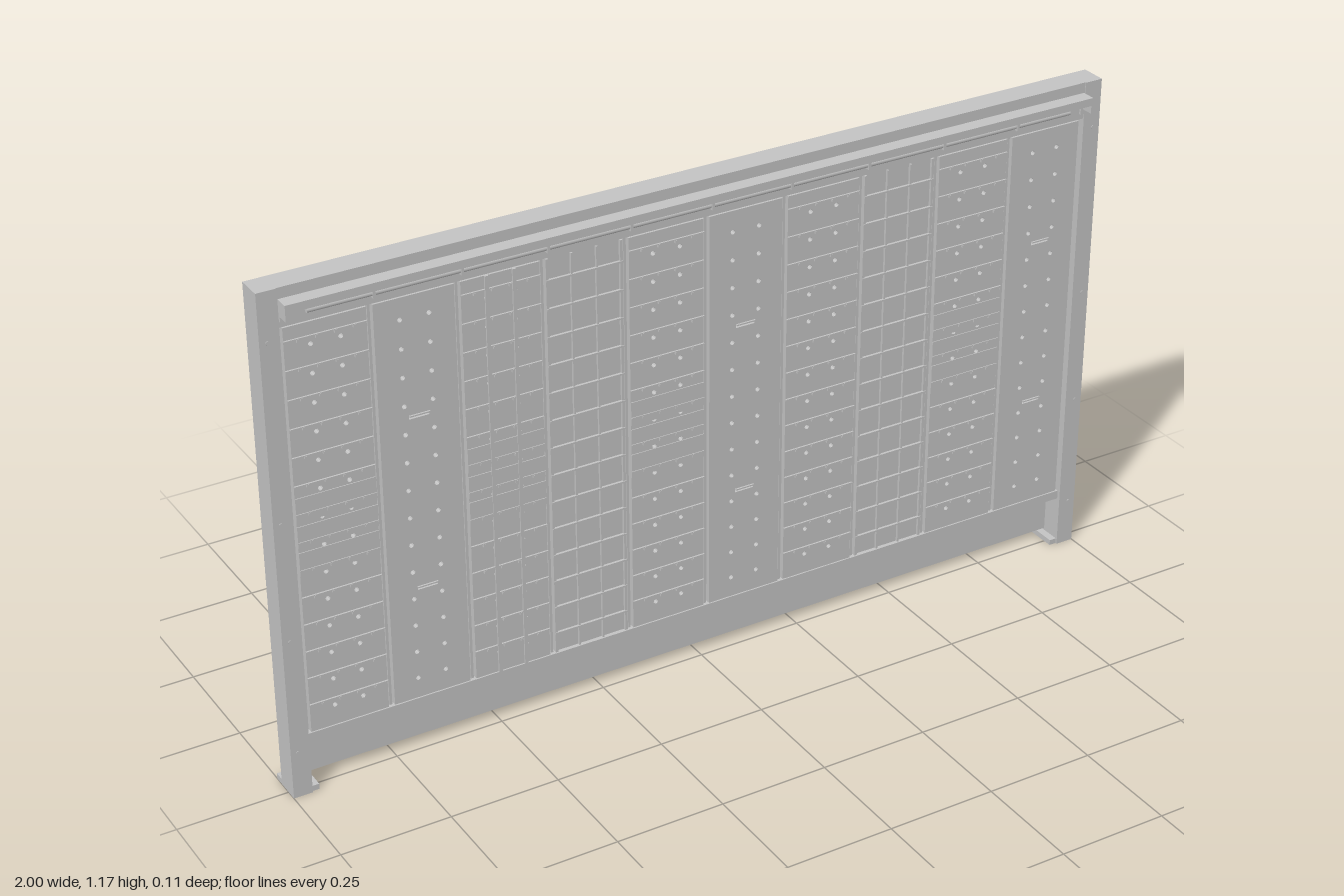
import * as THREE from 'three';

export function createModel() {
  const model = new THREE.Group();
  model.name = 'displayWall';
  const grey = new THREE.MeshStandardMaterial({ color: 0xc4c4c4 });
  grey.name = 'paintedSteel';

  // Box given by its limits on each axis
  function box(parent, name, x0, x1, y0, y1, z0, z1) {
    const mesh = new THREE.Mesh(new THREE.BoxGeometry(x1 - x0, y1 - y0, z1 - z0), grey);
    mesh.position.set((x0 + x1) / 2, (y0 + y1) / 2, (z0 + z1) / 2);
    mesh.name = name;
    parent.add(mesh);
    return mesh;
  }

  // Round bar along x or z
  function bar(parent, name, r, length, axis, x, y, z) {
    const geo = new THREE.CylinderGeometry(r, r, length, 8);
    if (axis === 'x') geo.rotateZ(Math.PI / 2);
    else geo.rotateX(Math.PI / 2);
    const mesh = new THREE.Mesh(geo, grey);
    mesh.position.set(x, y, z);
    mesh.name = name;
    parent.add(mesh);
  }

  const COUNT = 10, PITCH = 0.191, WIDTH = 0.177;
  const BOTTOM = 0.145, TOP = 1.08, FACE = 0.02;
  const ROWS = 14, ROW0 = 0.193, STEP = 0.0645;
  const seam = i => (i - COUNT / 2) * PITCH;

  // Posts, feet and post screws
  for (const s of [-1, 1]) {
    const post = new THREE.Group();
    post.name = s > 0 ? 'leftPost' : 'rightPost';
    const span = (a, b) => (s > 0 ? [a, b] : [-b, -a]);
    box(post, 'upright', ...span(0.957, 1), 0, 1.17, -0.034, 0.026);
    box(post, 'foot', ...span(0.94, 1), 0, 0.013, -0.057, -0.034);
    box(post, 'footTab', ...span(0.94, 0.957), 0, 0.013, -0.034, 0.022);
    for (const y of [0.11, 0.38, 0.655, 1.06]) bar(post, 'screw', 0.004, 0.002, 'z', s * 0.983, y, 0.0265);
    model.add(post);
  }

  // Frame between the posts
  box(model, 'topBeam', -0.957, 0.957, 1.085, 1.17, -0.034, 0.024);
  box(model, 'backSheet', -0.957, 0.957, 0.12, 1.085, -0.032, 0.002);
  box(model, 'bottomBeam', -0.957, 0.957, 0.12, BOTTOM - 0.004, -0.03, 0.018);
  box(model, 'kickPlate', -0.957, 0.957, 0.018, 0.12, -0.034, -0.024);

  // Narrow slotted uprights in the seams
  for (let i = 1; i < COUNT; i++) box(model, 'seamUpright', seam(i) - 0.003, seam(i) + 0.003, BOTTOM, TOP, 0.002, 0.015);

  // Light rail over the panels
  const rail = new THREE.Group();
  rail.name = 'lightRail';
  box(rail, 'railTop', -0.955, 0.955, 1.137, 1.146, 0.024, 0.057);
  box(rail, 'railLip', -0.955, 0.955, 1.128, 1.137, 0.053, 0.057);
  bar(rail, 'lightTube', 0.006, 1.81, 'x', 0, 1.117, 0.04);
  for (const s of [-1, 1]) {
    box(rail, 'railEnd', s * 0.953 - 0.002, s * 0.953 + 0.002, 1.11, 1.146, 0.024, 0.057);
    box(rail, 'endTab', s * 0.95 - 0.005, s * 0.95 + 0.005, 1.098, 1.125, 0.024, 0.029);
  }
  for (let i = 1; i < COUNT; i++) box(rail, 'tubeClip', seam(i) - 0.003, seam(i) + 0.003, 1.108, 1.137, 0.024, 0.048);
  model.add(rail);

  // Cable channel on the back, in sections
  const channel = new THREE.Group();
  channel.name = 'cableChannel';
  for (let i = 0; i < COUNT; i++) {
    const a = seam(i) + 0.0006, b = seam(i + 1) - 0.0006;
    box(channel, 'channelFloor', a, b, 0.117, 0.13, -0.057, -0.032);
    box(channel, 'channelLip', a, b, 0.13, 0.144, -0.057, -0.053);
    box(channel, 'channelRoot', a, b, 0.13, 0.138, -0.042, -0.032);
  }
  model.add(channel);

  // Perforated sheet shared by the panels, with optional slots
  function sheetGeometry(slots) {
    const shape = new THREE.Shape();
    const w = WIDTH / 2;
    shape.moveTo(-w, BOTTOM).lineTo(w, BOTTOM).lineTo(w, TOP).lineTo(-w, TOP).closePath();
    for (let r = 0; r < ROWS; r++) for (const s of [-1, 1]) {
      const hole = new THREE.Path();
      hole.absarc(s * 0.032, ROW0 + r * STEP, 0.0055, 0, Math.PI * 2, true);
      shape.holes.push(hole);
    }
    for (const y of slots) {
      const slot = new THREE.Path();
      slot.moveTo(-0.023, y - 0.004).lineTo(-0.023, y + 0.004).lineTo(0.023, y + 0.004).lineTo(0.023, y - 0.004).closePath();
      shape.holes.push(slot);
    }
    const geo = new THREE.ExtrudeGeometry(shape, { depth: 0.014, bevelEnabled: false, curveSegments: 5 });
    return geo.translate(0, 0, FACE - 0.014);
  }
  const plainSheet = sheetGeometry([0.41, 0.81]);
  const hookSheet = sheetGeometry([]);

  const addSheet = (panel, geo) => {
    const mesh = new THREE.Mesh(geo, grey);
    mesh.name = 'perforatedSheet';
    panel.add(mesh);
  };

  // Plain panel with two pull slots
  function plainPanel(panel) {
    addSheet(panel, plainSheet);
    for (const y of [0.41, 0.81]) box(panel, 'pullLip', -0.023, 0.023, y + 0.002, y + 0.005, FACE - 0.01, FACE + 0.004);
  }

  // Panel with ledges and short hooks
  function hookPanel(panel, banded, ribbed) {
    addSheet(panel, hookSheet);
    for (let r = 0; r < ROWS; r++) {
      const y = ROW0 + r * STEP;
      box(panel, 'ledge', -WIDTH / 2, WIDTH / 2, y + 0.018, y + 0.02, FACE, FACE + 0.004);
      for (const x of [-0.06, -0.02, 0.02, 0.06]) box(panel, 'hook', x - 0.002, x + 0.002, y + 0.012, y + 0.018, FACE, FACE + 0.005);
    }
    if (banded) for (const [a, b] of [[0.52, 0.575], [0.585, 0.635], [0.645, 0.7]])
      box(panel, 'band', -WIDTH / 2, WIDTH / 2, a, b, FACE, FACE + 0.002);
    if (ribbed) for (const x of [-0.032, 0.03])
      box(panel, 'rib', x - 0.004, x + 0.004, BOTTOM, TOP, FACE, FACE + 0.004);
  }

  // Wire grid in front of an open back
  function gridPanel(panel) {
    const w = WIDTH / 2;
    box(panel, 'gridBack', -w, w, BOTTOM, TOP, 0.002, 0.014);
    for (const s of [-1, 1]) box(panel, 'gridSide', s * (w - 0.003) - 0.003, s * (w - 0.003) + 0.003, BOTTOM, TOP, 0.014, FACE);
    for (let r = 0; r < ROWS; r++) {
      const y = ROW0 + r * STEP;
      box(panel, 'crossWire', -w, w, y - 0.002, y + 0.002, 0.016, FACE + 0.002);
    }
    for (const x of [-0.029, 0.029]) box(panel, 'uprightWire', x - 0.002, x + 0.002, BOTTOM, TOP, 0.014, FACE);
  }

  // Panels from the model's right to its left
  const kinds = ['hook', 'plain', 'ribbed', 'grid', 'hook', 'plain', 'hookBare', 'grid', 'hook', 'plain'];
  kinds.forEach((kind, i) => {
    const panel = new THREE.Group();
    panel.name = kind + 'Panel';
    panel.position.x = (seam(i) + seam(i + 1)) / 2;
    if (kind === 'plain') plainPanel(panel);
    else if (kind === 'grid') gridPanel(panel);
    else hookPanel(panel, kind !== 'hookBare', kind === 'ribbed');
    model.add(panel);
  });

  return model;
}
